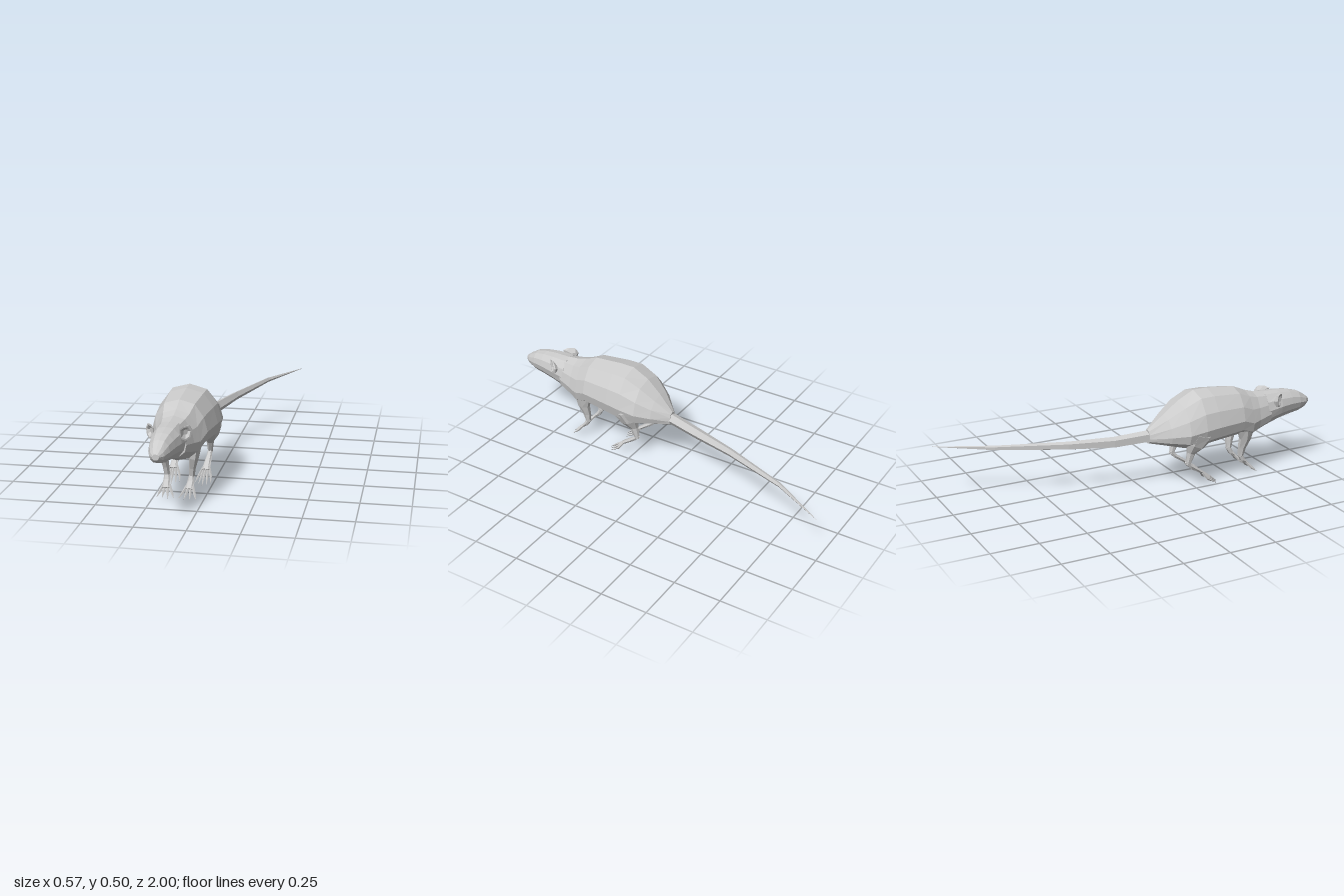
import * as THREE from 'three';

const grey = new THREE.MeshStandardMaterial({ color: 0xcccccc, flatShading: true, side: THREE.DoubleSide });
const CX = -0.127; // midline of the body
const V = (x, y, z) => new THREE.Vector3(x, y, z);

// Skin a list of closed rings (each a list of Vector3) and cap both ends.
function loft(name, rings) {
  const n = rings[0].length, pos = [], idx = [];
  rings.flat().forEach(p => pos.push(p.x, p.y, p.z));
  for (let i = 0; i < rings.length - 1; i++) {
    for (let j = 0; j < n; j++) {
      const a = i * n + j, b = i * n + (j + 1) % n;
      idx.push(a, b, b + n, a, b + n, a + n);
    }
  }
  const last = (rings.length - 1) * n;
  for (let j = 1; j < n - 1; j++) idx.push(0, j + 1, j, last, last + j, last + j + 1);
  // Turn the faces outward if the enclosed volume is negative.
  const at = i => V(pos[3 * i], pos[3 * i + 1], pos[3 * i + 2]);
  let volume = 0;
  for (let i = 0; i < idx.length; i += 3) volume += at(idx[i]).dot(at(idx[i + 1]).cross(at(idx[i + 2])));
  if (volume < 0) idx.reverse();
  const g = new THREE.BufferGeometry();
  g.setAttribute('position', new THREE.Float32BufferAttribute(pos, 3));
  g.setIndex(idx);
  g.computeVertexNormals();
  const mesh = new THREE.Mesh(g, grey);
  mesh.name = name;
  return mesh;
}

// Tapered limb through stations [x, y, z, half width, half depth].
function limb(name, stations, sides) {
  const pts = stations.map(s => V(s[0], s[1], s[2]));
  return loft(name, pts.map((p, i) => {
    const dir = pts[Math.min(i + 1, pts.length - 1)].clone().sub(pts[Math.max(i - 1, 0)]).normalize();
    const side = V(1, 0, 0).addScaledVector(dir, -dir.x).normalize();
    const up = dir.clone().cross(side);
    return Array.from({ length: sides }, (_, k) => {
      const a = (k / sides) * Math.PI * 2;
      return p.clone().addScaledVector(side, Math.cos(a) * stations[i][3])
        .addScaledVector(up, Math.sin(a) * stations[i][4]);
    });
  }));
}

// Cross-section lofted along z, from stations [z, centre x, top, bottom, half width].
function trunk(name, profile, stations) {
  const half = profile.slice(1, -1);
  const outline = [...profile, ...half.reverse().map(([x, y]) => [-x, y])];
  return loft(name, stations.map(([z, cx, top, bottom, w]) =>
    outline.map(([x, y]) => V(cx + x * w, bottom + y * (top - bottom), z))));
}

export function createModel() {
  const model = new THREE.Group();
  model.name = 'rat';

  // Torso with arched back and keeled chest
  const bodyProfile = [[0, 1], [0.54, 0.92], [0.86, 0.68], [1, 0.4], [0.9, 0.2], [0.5, 0.05], [0, 0]];
  model.add(trunk('body', bodyProfile, [
    [0.035, -0.105, 0.315, 0.24, 0.03],
    [0.12, -0.12, 0.39, 0.225, 0.105],
    [0.2, CX, 0.455, 0.205, 0.152],
    [0.29, CX, 0.5, 0.2, 0.162],
    [0.37, CX, 0.5, 0.21, 0.157],
    [0.53, -0.128, 0.485, 0.225, 0.138],
    [0.6, -0.13, 0.455, 0.2, 0.119],
    [0.65, -0.131, 0.44, 0.22, 0.1],
    [0.73, -0.133, 0.43, 0.25, 0.08],
  ]));

  // Head tapering to a blunt snout
  const headProfile = [[0, 1], [0.5, 0.96], [0.86, 0.76], [1, 0.5], [0.85, 0.24], [0.5, 0.03], [0, 0]];
  model.add(trunk('head', headProfile, [
    [0.71, -0.133, 0.43, 0.245, 0.08],
    [0.8, -0.135, 0.428, 0.275, 0.076],
    [0.87, -0.136, 0.42, 0.287, 0.063],
    [0.93, -0.137, 0.405, 0.295, 0.051],
    [0.975, -0.138, 0.378, 0.31, 0.036],
    [1.0, -0.138, 0.358, 0.33, 0.017],
  ]));

  // Long tail curving to the left
  model.add(limb('tail', [
    [-0.108, 0.277, 0.06, 0.03, 0.034],
    [-0.07, 0.261, -0.14, 0.027, 0.031],
    [-0.008, 0.262, -0.37, 0.019, 0.023],
    [0.12, 0.268, -0.72, 0.011, 0.013],
    [0.28, 0.27, -1.0, 0.001, 0.001],
  ], 5));

  for (const s of [1, -1]) {
    const side = s > 0 ? 'left' : 'right';
    const leg = (name, stations, sides) =>
      model.add(limb(side + name, stations.map(([x, ...r]) => [CX + s * x, ...r]), sides));

    // Front leg and paw
    leg('FrontLeg', [
      [0.085, 0.37, 0.55, 0.02, 0.045],
      [0.088, 0.29, 0.565, 0.03, 0.058],
      [0.076, 0.21, 0.57, 0.024, 0.036],
      [0.066, 0.155, 0.558, 0.017, 0.023],
      [0.061, 0.105, 0.553, 0.014, 0.014],
    ], 6);
    leg('FrontPaw', [
      [0.061, 0.118, 0.55, 0.013, 0.014],
      [0.06, 0.085, 0.567, 0.018, 0.013],
      [0.057, 0.055, 0.6, 0.021, 0.008],
    ], 6);
    for (let i = 0; i < 4; i++) {
      const f = i / 3 - 0.5, reach = 0.022 * Math.abs(f);
      leg('FrontToe' + (i + 1), [
        [0.058 + f * 0.028, 0.068, 0.585, 0.007, 0.007],
        [0.056 + f * 0.06, 0.037, 0.622 - reach, 0.0065, 0.007],
        [0.054 + f * 0.085, 0.018, 0.647 - reach, 0.001, 0.001],
      ], 4);
    }

    // Hind leg: haunch, shank and long foot
    leg('HindLeg', [
      [0.105, 0.37, 0.29, 0.035, 0.06],
      [0.108, 0.29, 0.275, 0.05, 0.085],
      [0.1, 0.235, 0.25, 0.039, 0.055],
      [0.091, 0.19, 0.232, 0.019, 0.026],
      [0.088, 0.125, 0.215, 0.012, 0.012],
    ], 7);
    leg('HindFoot', [
      [0.088, 0.143, 0.208, 0.01, 0.012],
      [0.087, 0.115, 0.235, 0.014, 0.012],
      [0.084, 0.06, 0.315, 0.021, 0.009],
    ], 6);
    for (let i = 0; i < 5; i++) {
      const f = i / 4 - 0.5, reach = 0.05 * Math.abs(f);
      leg('HindToe' + (i + 1), [
        [0.084 + f * 0.03, 0.07, 0.3, 0.006, 0.007],
        [0.081 + f * 0.06, 0.034, 0.352 - reach, 0.0065, 0.007],
        [0.079 + f * 0.08, 0.002 + reach * 0.3, 0.395 - reach, 0.001, 0.001],
      ], 4);
    }

    // Cupped ear: outer rim, hollow and back, swept rearward
    const rim = [[0.062, 0.418], [0.078, 0.428], [0.1, 0.426], [0.111, 0.4], [0.105, 0.368], [0.086, 0.356], [0.066, 0.372]];
    const ring = (scale, dz) => rim.map(([x, y]) => {
      const ex = 0.08 + (x - 0.08) * scale, ey = 0.394 + (y - 0.394) * scale;
      return V(-0.133 + s * ex, ey, 0.8 - (ex - 0.062) * 1.2 + dz);
    });
    model.add(loft(side + 'Ear', [ring(0.35, -0.035), ring(0.95, -0.012), ring(1, 0), ring(0.78, 0), ring(0.35, -0.02)]));
  }
  return model;
}
